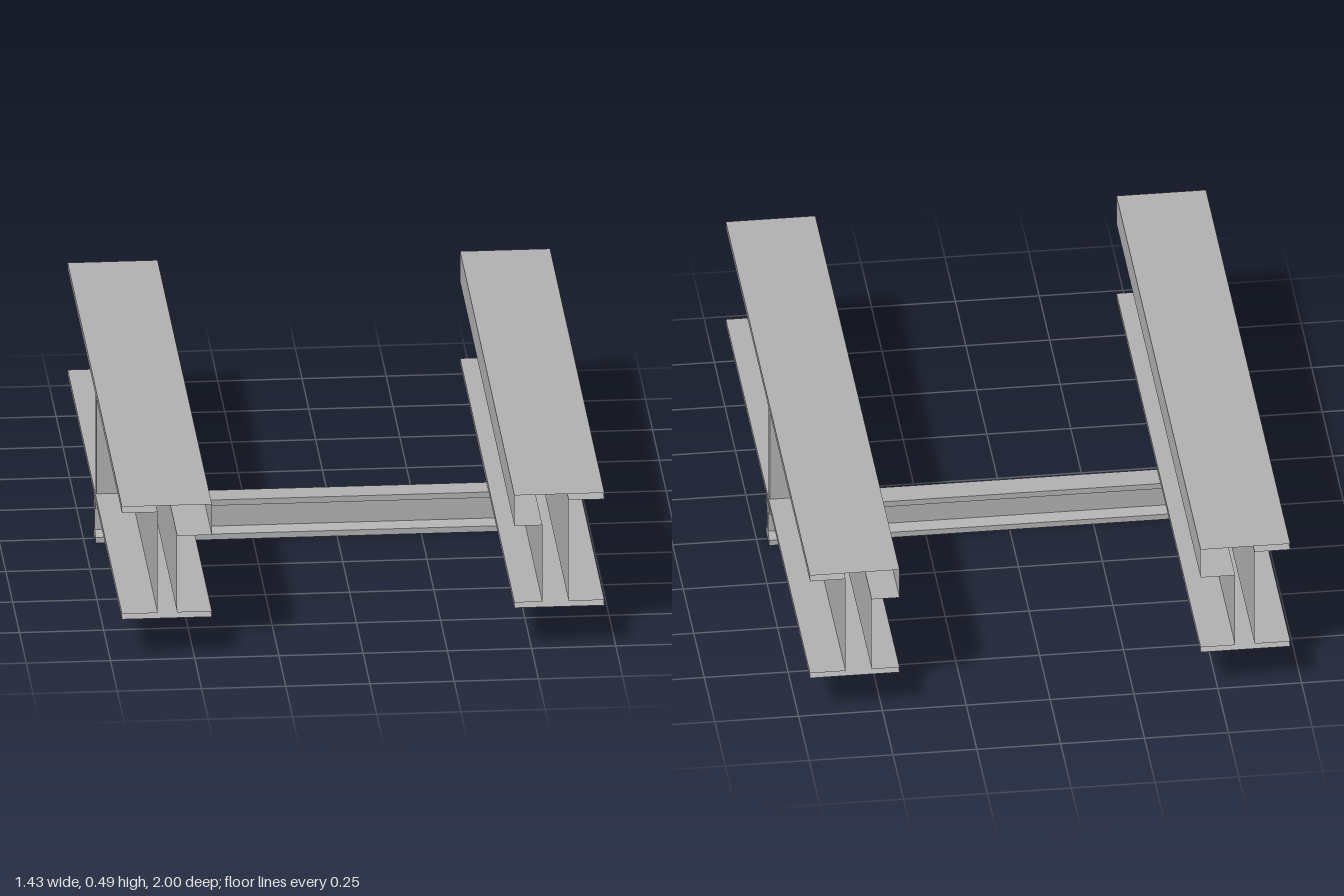
import * as THREE from 'three';

const steel = new THREE.MeshStandardMaterial({ color: 0xb0b0b0, side: THREE.DoubleSide });
steel.name = 'steel grey';

// Sweeps a closed xy outline along z as flat faces, leaving both ends open
function openSection(outline, length) {
  const pos = [];
  const h = length / 2;
  outline.forEach(([ax, ay], i) => {
    const [bx, by] = outline[(i + 1) % outline.length];
    pos.push(ax, ay, h, bx, by, -h, bx, by, h);
    pos.push(ax, ay, h, ax, ay, -h, bx, by, -h);
  });
  const geo = new THREE.BufferGeometry();
  geo.setAttribute('position', new THREE.Float32BufferAttribute(pos, 3));
  geo.computeVertexNormals();
  return geo;
}

// Long girder: inner edge of the top flange is deeper than the outer edge
function girder(side, webInner) {
  const inner = 0.449, outer = 0.716, webOuter = 0.61;
  const outline = [
    [inner, 0.13], [outer, 0.13], [outer, 0.147], [webOuter, 0.147],
    [webOuter, 0.467], [outer, 0.467], [outer, 0.487], [inner, 0.487],
    [inner, 0.39], [webInner, 0.39], [webInner, 0.147], [inner, 0.147],
  ].map(([x, y]) => [x * side, y]);
  if (side < 0) outline.reverse();
  const group = new THREE.Group();
  const beam = new THREE.Mesh(openSection(outline, 2), steel);
  beam.name = 'girderBeam';

  // Upright plate on the outer face of the web
  const stiffener = new THREE.Mesh(new THREE.BoxGeometry(0.103, 0.318, 0.038), steel);
  stiffener.name = 'webStiffener';
  stiffener.position.set(side * 0.661, 0.307, 0);
  group.add(beam, stiffener);
  return group;
}

// Small rolled cross beam with tapered flanges
function crossBeam() {
  const half = [
    [0.04, 0], [0.04, 0.018], [0.022, 0.024], [0.009, 0.031],
    [0.009, 0.096], [0.022, 0.102], [0.04, 0.108], [0.04, 0.126],
  ];
  const mirrored = half.map(([x, y]) => [-x, y]).reverse();
  const shape = new THREE.Shape([...half, ...mirrored].map(([x, y]) => new THREE.Vector2(x, y)));
  const geo = new THREE.ExtrudeGeometry(shape, { depth: 1.434, bevelEnabled: false });
  geo.translate(0, 0, -0.717).rotateY(Math.PI / 2);
  const mesh = new THREE.Mesh(geo, steel);
  mesh.name = 'crossBeam';
  return mesh;
}

export function createModel() {
  const model = new THREE.Group();
  model.name = 'steelBeamFrame';
  const left = girder(1, 0.532);
  left.name = 'leftGirder';
  const right = girder(-1, 0.552);
  right.name = 'rightGirder';
  model.add(left, right, crossBeam());
  return model;
}
